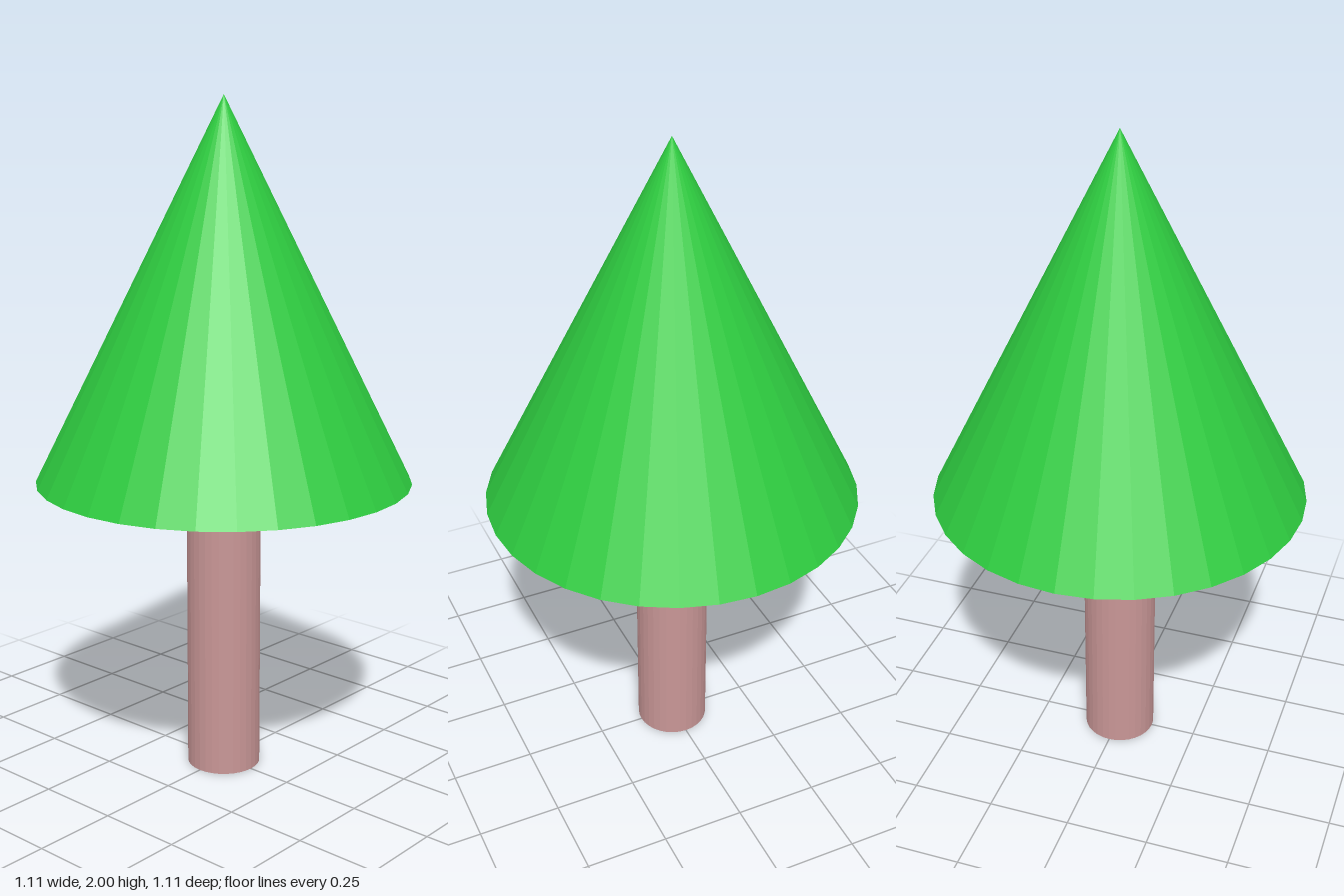
import * as THREE from 'three';

const SIDES = 32;

function part(name, geometry, color, y) {
  const material = new THREE.MeshStandardMaterial({ color, flatShading: true });
  const mesh = new THREE.Mesh(geometry, material);
  mesh.name = name;
  mesh.position.y = y;
  return mesh;
}

export function createModel() {
  const tree = new THREE.Group();
  tree.name = 'tree';

  const trunkHeight = 0.884;
  const crownBase = 0.895; // sits a hair above the trunk
  const crownHeight = 2 - crownBase;

  // Round trunk standing on the ground
  tree.add(part('trunk', new THREE.CylinderGeometry(0.11, 0.11, trunkHeight, SIDES), 0xc89696, trunkHeight / 2));

  // Faceted cone of foliage
  tree.add(part('foliage', new THREE.ConeGeometry(0.5525, crownHeight, SIDES), 0x2ecc40, crownBase + crownHeight / 2));

  return tree;
}
